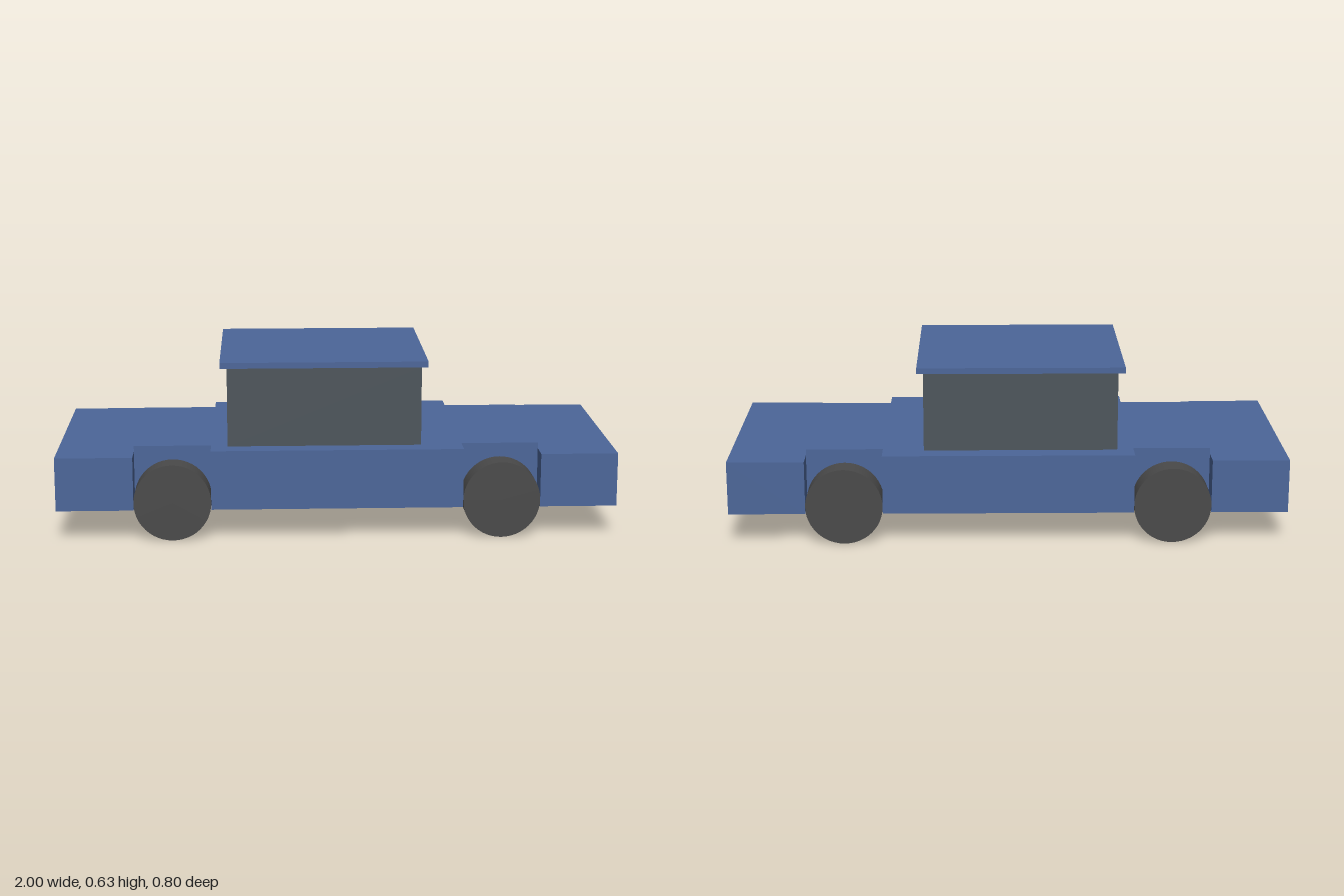
import * as THREE from 'three';

const paint = new THREE.MeshStandardMaterial({ color: 0x4c6699 });
const glass = new THREE.MeshStandardMaterial({ color: 0x4d555b });
const rubber = new THREE.MeshStandardMaterial({ color: 0x4a4a4a });

const WHEEL_R = 0.138, WHEEL_X = 0.587, HALF_W = 0.4, WELL_Z = 0.312;
const WELL_IN = WHEEL_X - WHEEL_R, WELL_OUT = WHEEL_X + WHEEL_R;

export function createModel() {
  const model = new THREE.Group();

  const add = (name, geometry, material) => {
    const mesh = new THREE.Mesh(geometry, material);
    mesh.name = name;
    model.add(mesh);
    return mesh;
  };

  // Box given by its limits on each axis, symmetric in z
  const slab = (name, x0, x1, y0, y1, halfZ, material) =>
    add(name, new THREE.BoxGeometry(x1 - x0, y1 - y0, 2 * halfZ), material)
      .position.set((x0 + x1) / 2, (y0 + y1) / 2, 0);

  // Ground plan extruded upwards; the quarter outline is mirrored in x and z
  const plan = (name, quarter, y0, y1) => {
    const back = [...quarter].reverse();
    const outline = [
      ...quarter,
      ...back.map(([x, z]) => [-x, z]),
      ...quarter.map(([x, z]) => [-x, -z]),
      ...back.map(([x, z]) => [x, -z]),
    ].map(([x, z]) => new THREE.Vector2(x, z));
    const geometry = new THREE.ExtrudeGeometry(new THREE.Shape(outline), { depth: y1 - y0, bevelEnabled: false });
    geometry.rotateX(-Math.PI / 2).translate(0, y0, 0);
    add(name, geometry, paint);
  };

  // Lower body with four open wheel wells, and the raised middle deck
  const well = [[WELL_OUT, WELL_Z], [WELL_IN, WELL_Z], [WELL_IN, HALF_W]];
  plan('lowerBody', [[1, HALF_W], [WELL_OUT, HALF_W], ...well], 0.112, 0.305);
  plan('raisedDeck', well, 0.305, 0.326);

  // Cabin and overhanging roof, set slightly towards one end
  slab('cabin', -0.39, 0.302, 0.326, 0.61, 0.33, glass);
  slab('roof', -0.415, 0.325, 0.61, 0.631, 0.339, paint);

  // Wheels
  const width = 0.401 - WELL_Z;
  const wheelGeometry = new THREE.CylinderGeometry(WHEEL_R, WHEEL_R, width, 48).rotateX(Math.PI / 2);
  for (const sx of [-1, 1]) {
    for (const sz of [-1, 1]) {
      const name = (sz > 0 ? 'front' : 'back') + (sx > 0 ? 'Left' : 'Right') + 'Wheel';
      add(name, wheelGeometry, rubber).position.set(sx * WHEEL_X, WHEEL_R, sz * (WELL_Z + width / 2));
    }
  }

  return model;
}
